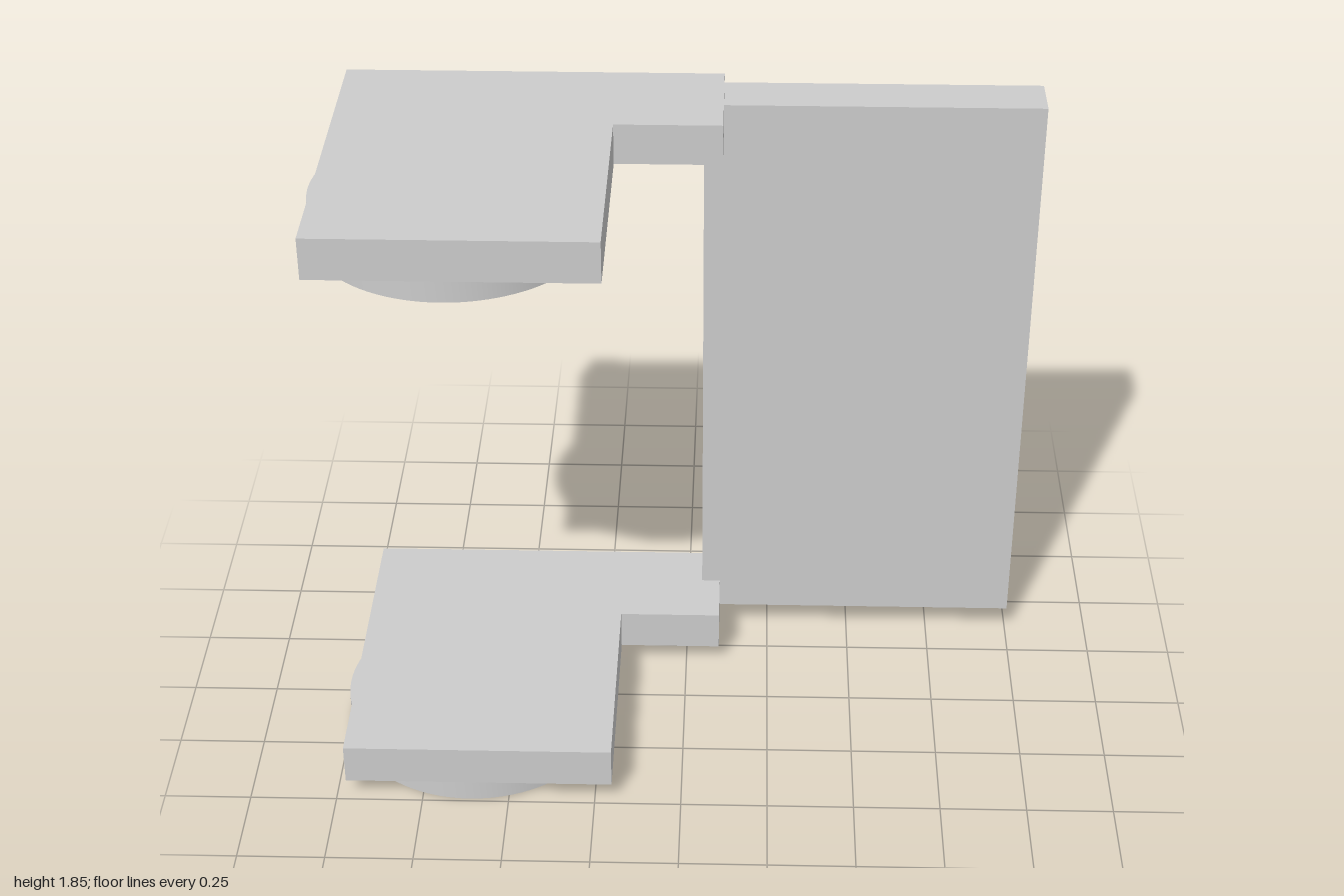
import * as THREE from 'three';
import { toCreasedNormals } from 'three/addons/utils/BufferGeometryUtils.js';

const THICKNESS = 0.12;
const material = new THREE.MeshStandardMaterial({ color: 0xcccccc });

// Extrudes an outline drawn in (x, z) upwards from y = 0
function slab(shape) {
  const geometry = new THREE.ExtrudeGeometry(shape, {
    depth: THICKNESS, bevelEnabled: false, curveSegments: 48,
  });
  geometry.rotateX(Math.PI / 2).translate(0, THICKNESS, 0);
  return toCreasedNormals(geometry, Math.PI / 6);
}

function addMesh(parent, name, geometry, x, y, z) {
  const mesh = new THREE.Mesh(geometry, material);
  mesh.name = name;
  mesh.position.set(x, y, z);
  parent.add(mesh);
}

export function createModel() {
  const model = new THREE.Group();
  model.name = 'bracket';

  // Upright panel joining the two arms
  addMesh(model, 'backPanel', new THREE.BoxGeometry(0.955, 1.735, 0.145), 0.5225, 0.9575, -0.4175);

  // L-shaped arm plate
  const armShape = new THREE.Shape([
    [-0.97, -0.49], [0.1, -0.49], [0.1, -0.165],
    [-0.2, -0.165], [-0.2, 0.49], [-0.97, 0.49],
  ].map(([x, z]) => new THREE.Vector2(x, z)));
  const armGeometry = slab(armShape);

  // Round mounting disc with four bolt holes
  const discShape = new THREE.Shape().absarc(0, 0, 0.385, 0, Math.PI * 2);
  for (let i = 0; i < 4; i++) {
    const a = i * Math.PI / 2;
    discShape.holes.push(new THREE.Path().absarc(
      0.2 * Math.cos(a), 0.2 * Math.sin(a), 0.048, 0, Math.PI * 2, true));
  }
  const discGeometry = slab(discShape);

  // Lower and upper arms, each with its disc sunk halfway into the plate
  for (const [name, y] of [['lowerArm', 0], ['upperArm', 1.67]]) {
    const arm = new THREE.Group();
    arm.name = name;
    arm.position.y = y;
    addMesh(arm, 'armPlate', armGeometry, 0, 0.062, 0);
    addMesh(arm, 'mountingDisc', discGeometry, -0.615, 0, 0.105);
    model.add(arm);
  }
  return model;
}
